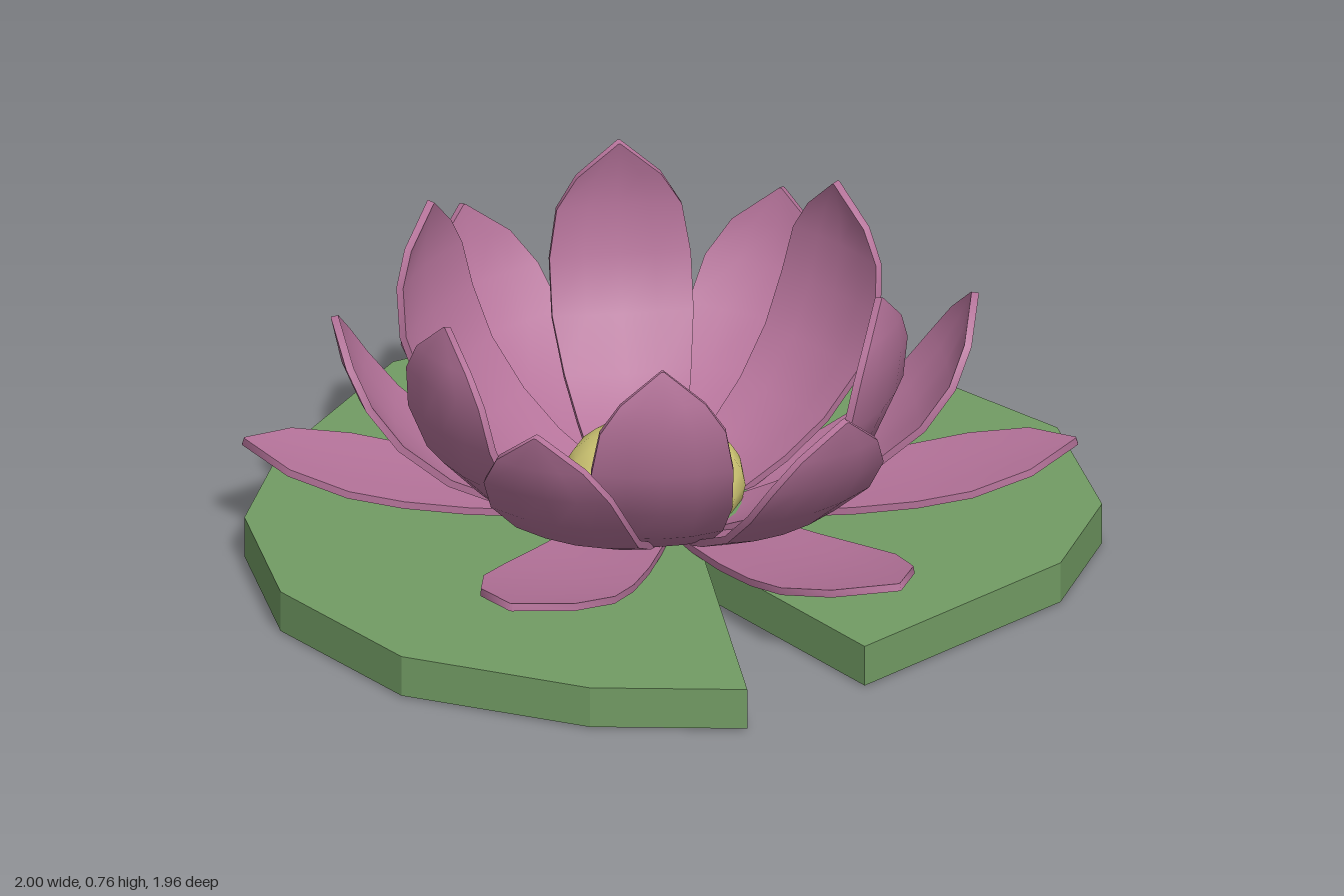
import * as THREE from 'three';
import { toCreasedNormals } from 'three/addons/utils/BufferGeometryUtils.js';

const THICKNESS = 0.018;
const COLUMNS = 4;

// Solid petal pointing to +z; stations are [reach, height, half width]
function petalGeometry(stations, cup) {
  const positions = [], index = [];
  const ring = 2 * (COLUMNS + 1);
  const last = stations.length - 1;
  stations.forEach(([reach, height, w], i) => {
    const before = stations[Math.max(i - 1, 0)], after = stations[Math.min(i + 1, last)];
    const dz = after[0] - before[0], dy = after[1] - before[1];
    const len = Math.hypot(dy, dz);
    for (let j = 0; j < ring; j++) {
      const top = j <= COLUMNS;
      const u = ((top ? j : ring - 1 - j) / COLUMNS) * 2 - 1;
      const lift = cup * w * u * u + (top ? THICKNESS / 2 : -THICKNESS / 2);
      positions.push(u * w, height + (dz / len) * lift, reach - (dy / len) * lift);
    }
  });
  for (let i = 0; i < last; i++) {
    for (let j = 0; j < ring; j++) {
      const a = i * ring + j, b = i * ring + (j + 1) % ring;
      index.push(a, a + ring, b, b, a + ring, b + ring);
    }
  }
  // Close the two ends
  const end = last * ring;
  for (let j = 1; j < ring - 1; j++) {
    index.push(0, j, j + 1, end, end + j + 1, end + j);
  }
  const g = new THREE.BufferGeometry();
  g.setAttribute('position', new THREE.Float32BufferAttribute(positions, 3));
  g.setIndex(index);
  return toCreasedNormals(g, 0.8);
}

// Centres are [x, z]; angles are in degrees from the front towards +x
const RINGS = [
  {
    name: 'innerPetal', cup: 0.12, centre: [0.003, -0.008], angles: [30, 93, 149, 204, 267, 325],
    heights: [0.97, 1, 1.02, 1, 0.94, 0.94],
    stations: [[0.03, 0.03, 0.03], [0.2, 0.09, 0.11], [0.32, 0.145, 0.13], [0.43, 0.22, 0.15],
      [0.53, 0.33, 0.167], [0.585, 0.46, 0.167], [0.602, 0.58, 0.148], [0.6, 0.66, 0.1],
      [0.58, 0.745, 0.003]],
  },
  {
    name: 'middlePetal', cup: 0.12, centre: [0.025, -0.01], angles: [-2, 60, 119, 179, 234, 300],
    stations: [[0.03, 0.03, 0.03], [0.22, 0.09, 0.1], [0.36, 0.135, 0.13], [0.5, 0.2, 0.155],
      [0.62, 0.3, 0.172], [0.695, 0.4, 0.16], [0.735, 0.49, 0.11], [0.755, 0.58, 0.003]],
  },
  {
    name: 'outerPetal', cup: 0.04, centre: [0.03, -0.002], angles: [-3, 53, 119, 178, 231, 301],
    stations: [[0.05, 0.045, 0.03], [0.18, 0.092, 0.1], [0.3, 0.109, 0.12], [0.45, 0.124, 0.145],
      [0.6, 0.146, 0.163], [0.73, 0.172, 0.165], [0.87, 0.208, 0.118], [0.978, 0.24, 0.003]],
  },
];

export function createModel() {
  const model = new THREE.Group();
  model.name = 'waterLily';
  const padMaterial = new THREE.MeshStandardMaterial({ color: 0x729c64 });
  const petalMaterial = new THREE.MeshStandardMaterial({ color: 0xb5739a });
  const heartMaterial = new THREE.MeshStandardMaterial({ color: 0xd4cb76 });

  // Leaf with an irregular rim and a notch, as [x, z]
  const rim = [[0, -0.98], [0.33, -0.93], [0.7, -0.7], [0.93, -0.19], [1, 0.27], [0.82, 0.67],
    [0.54, 0.87], [-0.11, 0.955], [-0.1, 0.33], [-0.475, 0.975], [-0.76, 0.74], [-1, 0.33],
    [-1, -0.13], [-0.81, -0.51], [-0.54, -0.73]];
  const shape = new THREE.Shape(rim.map(([x, z]) => new THREE.Vector2(x, -z)));
  const padGeometry = new THREE.ExtrudeGeometry(shape, { depth: 0.101, bevelEnabled: false });
  padGeometry.rotateX(-Math.PI / 2);
  const pad = new THREE.Mesh(padGeometry, padMaterial);
  pad.name = 'lilyPad';
  pad.position.y = 0.004;
  model.add(pad);

  const flower = new THREE.Group();
  flower.name = 'flower';
  model.add(flower);

  // Three rings of six petals
  for (const { name, cup, centre, angles, heights, stations } of RINGS) {
    const geometry = petalGeometry(stations, cup);
    angles.forEach((angle, i) => {
      const petal = new THREE.Mesh(geometry, petalMaterial);
      petal.name = name;
      petal.position.set(centre[0], 0, centre[1]);
      petal.rotation.y = THREE.MathUtils.degToRad(angle);
      if (heights) petal.scale.y = heights[i];
      flower.add(petal);
    });
  }

  // Flattened ball in the middle, just reaching through the leaf
  const heart = new THREE.Mesh(new THREE.SphereGeometry(0.217, 16, 12), heartMaterial);
  heart.name = 'flowerHeart';
  heart.scale.y = 0.65;
  heart.position.set(0.025, 0.141, -0.02);
  flower.add(heart);

  return model;
}
